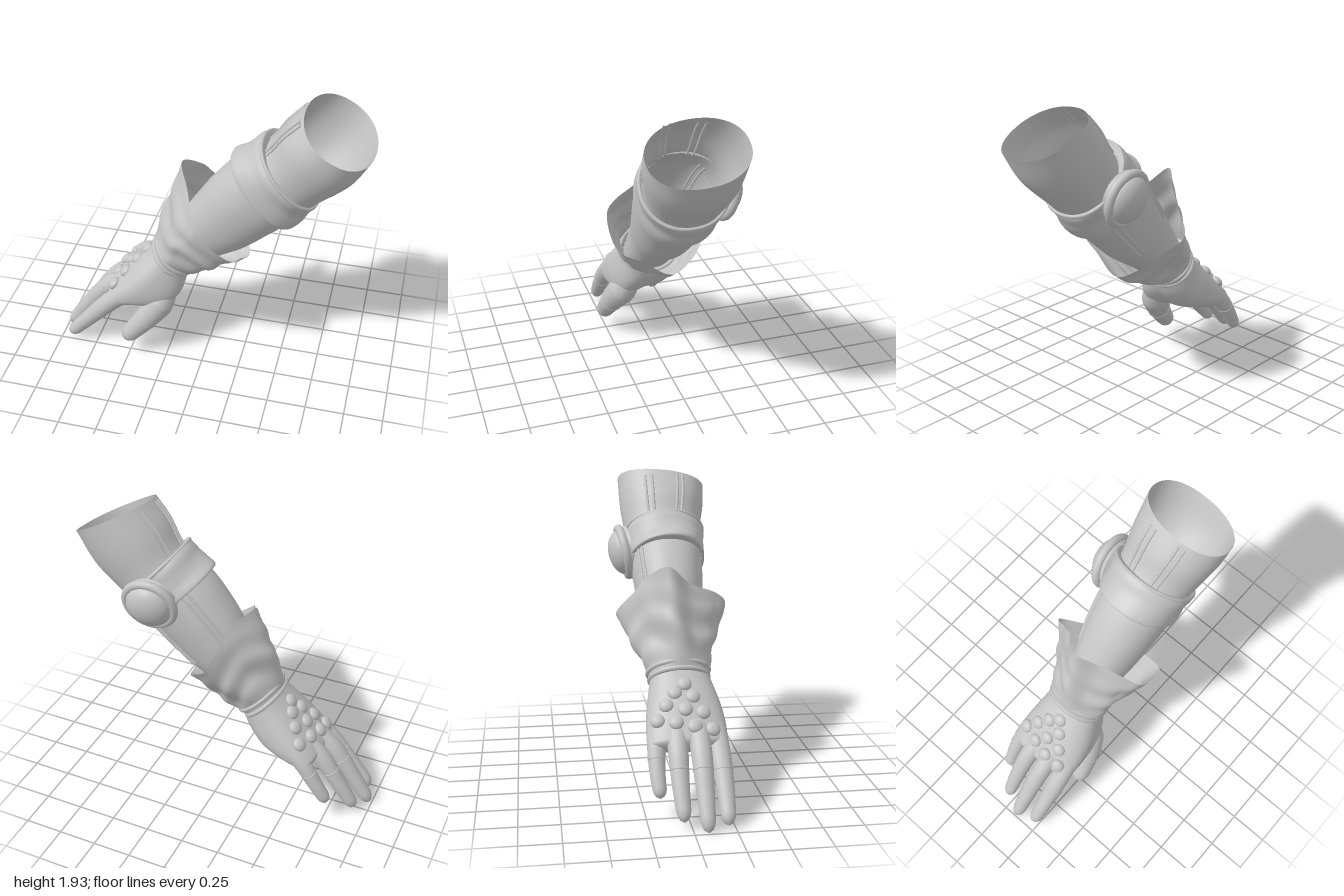
import * as THREE from 'three';
import { mergeVertices } from 'three/addons/utils/BufferGeometryUtils.js';

const V = (x, y, z) => new THREE.Vector3(x, y, z);
const TAU = Math.PI * 2;

// closed-around surface from fn(u, angle) -> point
function sheet(rows, cols, fn) {
  const pos = [], idx = [];
  for (let i = 0; i <= rows; i++) {
    for (let j = 0; j < cols; j++) pos.push(...fn(i / rows, (j / cols) * TAU).toArray());
  }
  for (let i = 0; i < rows; i++) {
    for (let j = 0; j < cols; j++) {
      const k = (j + 1) % cols;
      const a = i * cols + j, b = a + cols, c = i * cols + k, d = c + cols;
      idx.push(a, b, c, c, b, d);
    }
  }
  const g = new THREE.BufferGeometry();
  g.setAttribute('position', new THREE.Float32BufferAttribute(pos, 3));
  g.setIndex(idx);
  g.computeVertexNormals();
  return g;
}

// stations: [upper x, upper y, lower x, lower y, back z, front z] -> fn(u, angle, offset, scale)
function sections(list, power = 1) {
  const up = new THREE.CatmullRomCurve3(list.map(s => V(s[0], s[1], s[5])));
  const low = new THREE.CatmullRomCurve3(list.map(s => V(s[2], s[3], s[4])));
  const round = v => Math.sign(v) * Math.abs(v) ** power;
  return (u, t, off = 0, scale = 1) => {
    const a = up.getPoint(u), b = low.getPoint(u);
    const c = a.clone().add(b).multiplyScalar(0.5);
    const h = a.clone().sub(b).multiplyScalar(0.5);
    const hz = h.z;
    h.z = 0;
    h.setLength((h.length() + off) * scale);
    return c.addScaledVector(h, round(Math.cos(t))).add(V(0, 0, (hz + off) * scale * round(Math.sin(t))));
  };
}

// tapered round limb with a rounded tip
function limb(points, radii, seg = 40) {
  const curve = new THREE.CatmullRomCurve3(points);
  const g = new THREE.TubeGeometry(curve, seg, 1, 18, false);
  const p = g.attributes.position, v = V(0, 0, 0);
  const tip = 0.88;
  for (let i = 0; i <= seg; i++) {
    const u = i / seg, c = curve.getPointAt(u);
    const f = u * (radii.length - 1), k = Math.min(Math.floor(f), radii.length - 2);
    let r = THREE.MathUtils.lerp(radii[k], radii[k + 1], f - k);
    if (u > tip) r *= Math.sqrt(Math.max(0.0004, 1 - ((u - tip) / (1 - tip)) ** 2));
    for (let j = 0; j <= 18; j++) {
      const n = i * 19 + j;
      v.fromBufferAttribute(p, n).sub(c).multiplyScalar(r).add(c);
      p.setXYZ(n, v.x, v.y, v.z);
    }
  }
  g.deleteAttribute('uv');
  g.deleteAttribute('normal');
  const m = mergeVertices(g);
  m.computeVertexNormals();
  return { geometry: m, curve };
}

export function createModel() {
  const model = new THREE.Group();
  const grey = new THREE.MeshStandardMaterial({ color: 0xc4c4c4, side: THREE.DoubleSide });
  grey.name = 'plain grey';
  const add = (name, geometry) => {
    const m = new THREE.Mesh(geometry, grey);
    m.name = name;
    model.add(m);
    return m;
  };
  const bead = (name, fn, r, closed) => {
    const pts = [], n = closed ? 32 : 16;
    for (let i = 0; i < n; i++) pts.push(fn(closed ? i / n : i / (n - 1)));
    add(name, new THREE.TubeGeometry(new THREE.CatmullRomCurve3(pts, closed), closed ? 72 : 40, r, 8, closed));
  };

  // sleeve, open at the elbow with a slanted rim
  const arm = sections([
    [0.57, 1.93, 0.995, 1.70, -0.26, 0.325],
    [0.46, 1.81, 0.89, 1.52, -0.255, 0.31],
    [0.35, 1.65, 0.68, 1.32, -0.23, 0.262],
    [0.16, 1.52, 0.53, 1.15, -0.22, 0.25],
    [0.01, 1.35, 0.42, 1.05, -0.205, 0.235],
    [-0.08, 1.22, 0.25, 0.90, -0.18, 0.21],
    [-0.20, 1.03, 0.06, 0.78, -0.15, 0.18],
    [-0.33, 0.80, -0.15, 0.62, -0.15, 0.18],
  ], 0.92);
  add('sleeve', sheet(56, 56, (u, t) =>
    arm(u, t).addScaledVector(V(0.45, 0.9, 0), -0.04 * Math.sin(t) * Math.max(0, 1 - u * 6))));

  // paired seams along the sleeve
  for (const t of [-0.42, -0.26, 0.26, 0.4]) {
    bead('upperSeam', u => arm(0.03 + u * 0.28, t, 0.002), 0.009, false);
  }
  for (const t of [-0.95, -0.8, -2.1, -2.25]) {
    bead('forearmSeam', u => arm(0.36 + u * 0.36, t, 0.002), 0.008, false);
  }

  // strap below the elbow
  const strap = sections([
    [0.355, 1.645, 0.675, 1.325, -0.235, 0.267],
    [0.33, 1.69, 0.68, 1.31, -0.25, 0.282],
    [0.29, 1.675, 0.665, 1.275, -0.25, 0.282],
    [0.245, 1.635, 0.63, 1.23, -0.24, 0.272],
    [0.20, 1.60, 0.60, 1.18, -0.24, 0.275],
    [0.14, 1.56, 0.545, 1.125, -0.24, 0.27],
    [0.165, 1.525, 0.525, 1.155, -0.22, 0.25],
  ], 0.92);
  add('strap', sheet(36, 64, (u, t) => strap(u, t, 0.004 * Math.sin(t * 3 + u * 9))));
  bead('strapEdge', s => strap(0.21, s * TAU, -0.004), 0.012, true);

  // domed disc with a thick rim on the back of the strap
  const disc = new THREE.Group();
  disc.name = 'medallion';
  const profile = [new THREE.Vector2(0.165, -0.05)];
  for (let i = 0; i <= 12; i++) {
    const a = (i / 12) * Math.PI / 2;
    profile.push(new THREE.Vector2(0.15 * Math.cos(a), 0.005 + 0.095 * Math.sin(a)));
  }
  const dome = new THREE.Mesh(new THREE.LatheGeometry(profile, 40), grey);
  dome.name = 'medallionDome';
  const rim = new THREE.Mesh(new THREE.TorusGeometry(0.158, 0.028, 14, 48), grey);
  rim.name = 'medallionRim';
  rim.rotation.x = Math.PI / 2;
  disc.add(dome, rim);
  disc.position.set(0.42, 1.405, -0.26);
  disc.quaternion.setFromUnitVectors(V(0, 1, 0), V(-0.06, -0.2, -1).normalize());
  model.add(disc);

  // flared, crumpled cuff with a pointed rim
  const wrist = sections([
    [-0.33, 0.87, -0.09, 0.65, -0.175, 0.205],
    [-0.365, 0.82, -0.14, 0.605, -0.17, 0.2],
  ]);
  const cuffRim = new THREE.CatmullRomCurve3([
    V(-0.19, 1.41, -0.04), V(-0.12, 1.29, 0.10), V(-0.05, 1.21, 0.28), V(-0.01, 1.15, 0.345),
    V(0.20, 0.98, 0.335), V(0.24, 0.89, 0.18), V(0.26, 0.79, 0), V(0.21, 0.86, -0.15),
    V(0.12, 0.96, -0.25), V(0.01, 1.08, -0.35), V(-0.05, 1.23, -0.24), V(-0.09, 1.33, -0.16),
  ], true);
  add('cuff', sheet(36, 96, (u, t) => {
    const s = 1 - u;
    const a = wrist(1, t), b = cuffRim.getPoint((t / TAU) % 1);
    const p = a.clone().lerp(b, s);
    p.z = THREE.MathUtils.lerp(a.z, b.z, s ** 1.6);
    // creases
    const out = a.sub(V(-0.255, 0.71, 0.015)).normalize();
    const fold = Math.sin(s * 17 + 2.5 * Math.sin(t * 2 + 0.6)) * 0.008 + Math.sin(t * 5 + s * 6) * 0.01;
    return p.addScaledVector(out, (fold + 0.015) * Math.sin(Math.PI * s));
  }));
  bead('wristBand', s => wrist(1, s * TAU, -0.002), 0.016, true);
  bead('wristBand', s => wrist(0.4, s * TAU, 0.002), 0.016, true);

  // palm tapering to a closed, rounded knuckle end, swelling toward the thumb
  const palm = sections([
    [-0.33, 0.83, -0.13, 0.63, -0.165, 0.195],
    [-0.39, 0.765, -0.175, 0.53, -0.18, 0.225],
    [-0.49, 0.665, -0.27, 0.425, -0.205, 0.26],
    [-0.59, 0.555, -0.41, 0.375, -0.22, 0.27],
    [-0.65, 0.485, -0.52, 0.35, -0.215, 0.262],
    [-0.685, 0.435, -0.60, 0.34, -0.20, 0.25],
  ], 0.84);
  add('palm', sheet(48, 48, (u, t) => {
    const end = u > 0.86 ? Math.sqrt(Math.max(0, 1 - ((u - 0.86) / 0.14) ** 2)) : 1;
    const swell = Math.max(0, -Math.cos(t)) * Math.max(0, Math.sin(t)) * Math.sin(Math.PI * Math.min(1, u * 1.5));
    return palm(u, t, 0, end).addScaledVector(V(0.7, -0.7, 0), 0.11 * swell);
  }));

  // fingers and thumb, each with a thin joint band
  const digits = [
    ['littleFinger', [V(-0.46, 0.52, -0.15), V(-0.585, 0.41, -0.17), V(-0.68, 0.275, -0.175), V(-0.765, 0.14, -0.165)],
      [0.062, 0.056, 0.048, 0.04], 0.52],
    ['ringFinger', [V(-0.52, 0.52, -0.04), V(-0.67, 0.4, -0.05), V(-0.80, 0.225, -0.052), V(-0.918, 0.05, -0.045)],
      [0.066, 0.061, 0.052, 0.041], 0.5],
    ['middleFinger', [V(-0.53, 0.52, 0.085), V(-0.695, 0.395, 0.085), V(-0.85, 0.2, 0.085), V(-0.985, 0.008, 0.085)],
      [0.066, 0.064, 0.054, 0.042], 0.46],
    ['indexFinger', [V(-0.52, 0.48, 0.195), V(-0.665, 0.345, 0.207), V(-0.81, 0.185, 0.212), V(-0.945, 0.03, 0.21)],
      [0.068, 0.064, 0.054, 0.042], 0.46],
    ['thumb', [V(-0.25, 0.57, 0.10), V(-0.295, 0.43, 0.165), V(-0.38, 0.305, 0.222), V(-0.535, 0.115, 0.264)],
      [0.06, 0.098, 0.074, 0.054], 0.62],
  ];
  for (const [name, points, radii, at] of digits) {
    const { geometry, curve } = limb(points, radii);
    add(name, geometry);
    const f = at * 3, k = Math.floor(f);
    const r = THREE.MathUtils.lerp(radii[k], radii[k + 1], f - k);
    const band = add(name + 'Band', new THREE.TorusGeometry(r - 0.003, 0.006, 8, 28));
    band.position.copy(curve.getPointAt(at));
    band.quaternion.setFromUnitVectors(V(0, 0, 1), curve.getTangentAt(at));
  }

  // triangle of studs on the back of the hand
  const studs = [
    [-0.42, 0.024], [-0.455, -0.04], [-0.48, 0.067], [-0.503, -0.099], [-0.54, 0.013],
    [-0.55, 0.12], [-0.556, -0.158], [-0.594, -0.05], [-0.62, 0.06], [-0.62, 0.168],
  ];
  for (const [x, z] of studs) {
    const stud = add('stud', new THREE.SphereGeometry(0.045, 20, 14));
    stud.position.set(x, 0.73 + (x + 0.42) - 1.3 * (z - 0.03) ** 2, z);
    stud.scale.y = 0.62;
    stud.quaternion.setFromUnitVectors(V(0, 1, 0), V(-0.7, 0.7, (z - 0.03) * 1.5).normalize());
  }
  return model;
}
